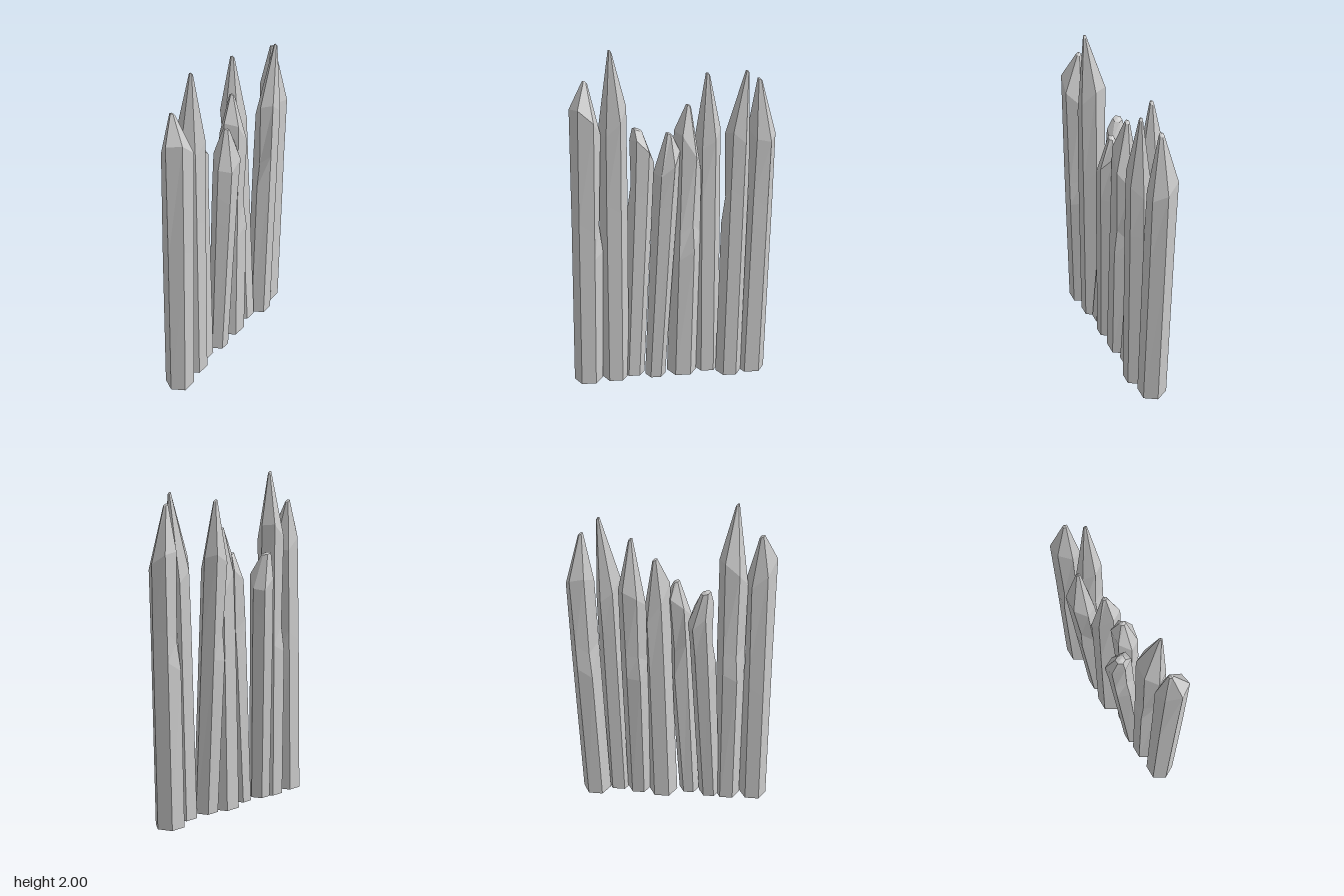
import * as THREE from 'three';

const SIDES = 6;

// base: [x, y, z, radius]; top: shoulder centre [x, z, radius]; yL / yR: shoulder height at -x / +x;
// tip: [x, y, z, radius]; notch: index of the chipped corner (0 = +x, turning towards the back); cut: its height
const STAKES = [
  { base: [-0.515, 0, 0.065, 0.086], top: [-0.488, 0.075, 0.084], yL: 1.68, yR: 1.53, tip: [-0.485, 1.83, 0.05, 0.014], notch: 0, cut: 0.83 },
  { base: [-0.35, 0, 0.05, 0.08], top: [-0.337, 0.04, 0.08], yL: 1.53, yR: 1.68, tip: [-0.345, 2, 0.065, 0.01], notch: 2, cut: 0.95 },
  { base: [-0.238, 0.01, 0.03, 0.066], top: [-0.165, -0.06, 0.07], yL: 1.46, yR: 1.32, tip: [-0.195, 1.53, -0.065, 0.028], notch: 3, cut: 1.0 },
  { base: [-0.107, 0.005, 0.055, 0.062], top: [-0.032, 0.06, 0.075], yL: 1.3, yR: 1.42, tip: [-0.02, 1.53, 0.05, 0.018], notch: 1, cut: 0.95 },
  { base: [0.06, 0.01, 0.025, 0.092], top: [0.094, 0.012, 0.078], yL: 1.53, yR: 1.28, tip: [0.095, 1.68, 0.005, 0.014], notch: 5, cut: 0.78 },
  { base: [0.212, 0.02, 0.018, 0.075], top: [0.217, -0.075, 0.076], yL: 1.43, yR: 1.52, tip: [0.215, 1.84, -0.08, 0.012], notch: 2, cut: 0.92 },
  { base: [0.345, 0.005, 0.055, 0.078], top: [0.372, 0.062, 0.07], yL: 1.52, yR: 1.4, tip: [0.415, 1.88, 0.075, 0.01], notch: 3, cut: 1.0 },
  { base: [0.488, 0, 0.01, 0.088], top: [0.522, 0, 0.08], yL: 1.53, yR: 1.5, tip: [0.5, 1.82, 0, 0.014], notch: 2, cut: 0.95 },
];

// One ring of corners; shape(k) may scale the radius and change the height of each corner
function ring(x, z, r, shape) {
  return Array.from({ length: SIDES }, (_, k) => {
    const a = (k / SIDES) * Math.PI * 2;
    const [scale, y] = shape(k, Math.cos(a), Math.sin(a));
    return [x + Math.cos(a) * r * scale, y, z - Math.sin(a) * r * scale];
  });
}

function stakeGeometry({ base, top, yL, yR, tip, notch, cut }, index) {
  const [bx, by, bz, br] = base;
  const [tx, tz, tr] = top;
  const yMid = (yL + yR) / 2;

  // Shaft ring part way up the lean
  const shaft = (y, chip) => {
    const t = (y - by) / (yMid - by);
    const mix = THREE.MathUtils.lerp;
    return ring(mix(bx, tx, t), mix(bz, tz, t), mix(br, tr, t),
      (k) => [k === notch ? chip : 1.02, y + 0.04 * Math.sin(k * 2 + index)]);
  };

  const rings = [
    ring(bx, bz, br, () => [1, by]),
    shaft(cut, 1.08),
    shaft(cut + 0.16, 0.84),
    // Uneven shoulder where the sharpened end begins
    ring(tx, tz, tr, (k, c, s) => [
      k % 2 ? 1.06 : 0.98,
      yMid + c * (yR - yL) / 2 + 0.05 * s * (index % 2 ? 1 : -1),
    ]),
    // Blunt point
    ring(tip[0], tip[2], tip[3], (k, c) => [1, tip[1] - 0.008 - 0.008 * c]),
  ];

  const positions = [];
  const tri = (a, b, c) => positions.push(...a, ...b, ...c);
  for (let i = 0; i < rings.length - 1; i++) {
    for (let k = 0; k < SIDES; k++) {
      const n = (k + 1) % SIDES;
      tri(rings[i][k], rings[i][n], rings[i + 1][n]);
      tri(rings[i][k], rings[i + 1][n], rings[i + 1][k]);
    }
  }
  // End caps
  const end = rings[rings.length - 1];
  for (let k = 0; k < SIDES; k++) {
    const n = (k + 1) % SIDES;
    tri([bx, by, bz], rings[0][n], rings[0][k]);
    tri([tip[0], tip[1], tip[2]], end[k], end[n]);
  }

  const geometry = new THREE.BufferGeometry();
  geometry.setAttribute('position', new THREE.Float32BufferAttribute(positions, 3));
  geometry.computeVertexNormals();
  return geometry;
}

export function createModel() {
  const group = new THREE.Group();
  group.name = 'palisade';
  const material = new THREE.MeshStandardMaterial({ color: 0xcccccc, flatShading: true });
  STAKES.forEach((stake, i) => {
    const mesh = new THREE.Mesh(stakeGeometry(stake, i), material);
    mesh.name = `stake${i + 1}`;
    group.add(mesh);
  });
  return group;
}
